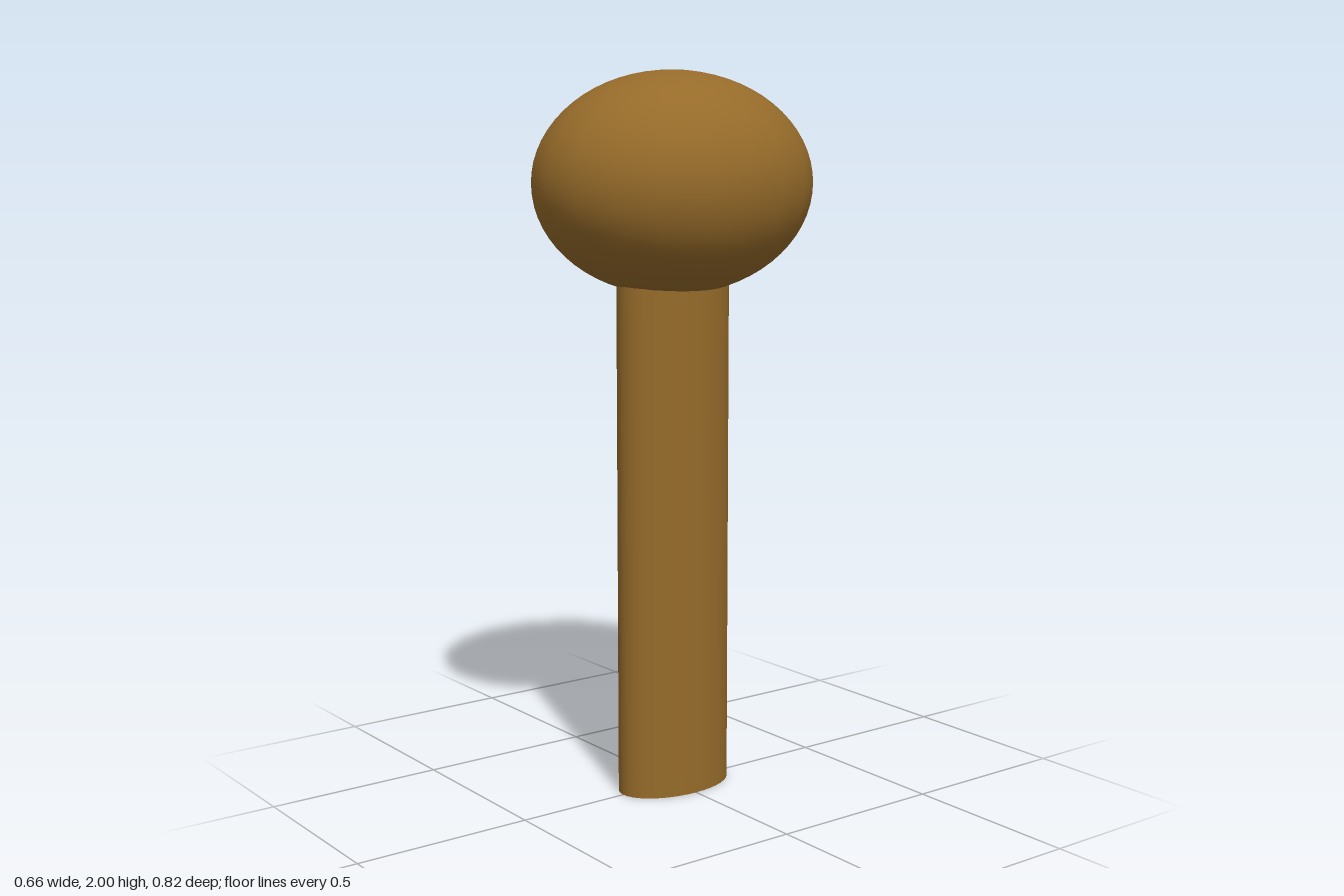
import * as THREE from 'three';

export function createModel() {
  const model = new THREE.Group();
  const wood = new THREE.MeshStandardMaterial({ color: 0x966b2a });

  // Adds an upright round part, stretched into an ellipse across x and z
  const addPart = (name, geometry, y, sx, sy, sz) => {
    geometry.scale(sx, sy, sz);
    const mesh = new THREE.Mesh(geometry, wood);
    mesh.name = name;
    mesh.position.y = y;
    model.add(mesh);
  };

  // Oval handle, its top sunk into the head
  addPart('handle', new THREE.CylinderGeometry(1, 1, 1.5, 40), 0.75, 0.108, 1, 0.175);

  // Egg-shaped head, longest from front to back
  addPart('head', new THREE.SphereGeometry(1, 20, 32), 1.697, 0.332, 0.303, 0.411);

  return model;
}
